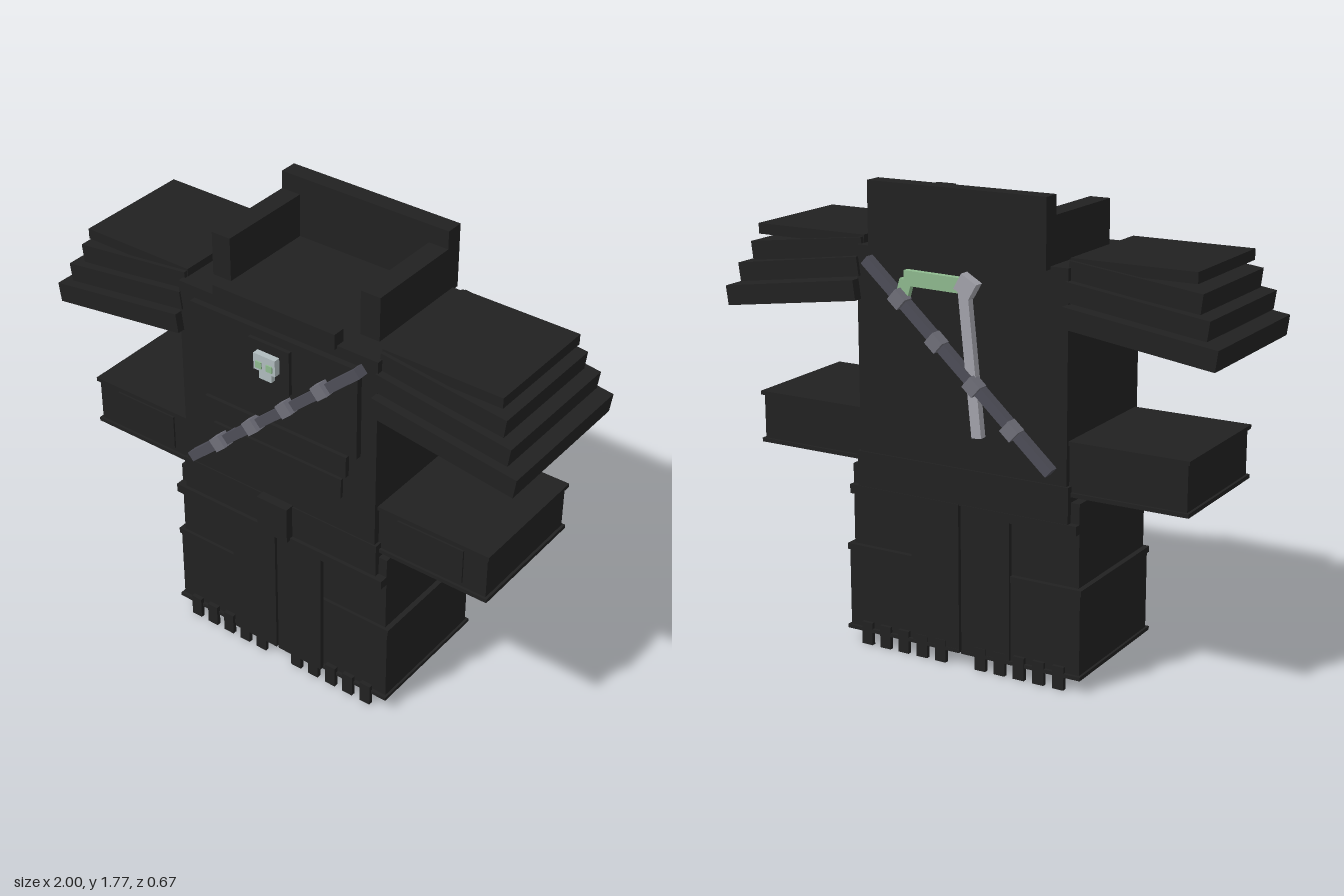
import * as THREE from 'three';

const mat = (name, color) => {
  const m = new THREE.MeshStandardMaterial({ color });
  m.name = name;
  return m;
};

export function createModel() {
  const cloth = mat('black armour', 0x212121);
  const leather = mat('grey strap', 0x4e4e58);
  const buckleMat = mat('buckle grey', 0x70707a);
  const steel = mat('pale steel', 0xa4a4ac);
  const green = mat('pale green', 0x8fba8f);
  const bone = mat('bone grey', 0xb0bcbe);
  const root = new THREE.Group();
  root.name = 'armouredRobe';

  // Box given by its extents on each axis
  const box = (name, x0, x1, y0, y1, z0, z1, m = cloth, parent = root) => {
    const mesh = new THREE.Mesh(new THREE.BoxGeometry(Math.abs(x1 - x0), y1 - y0, z1 - z0), m);
    mesh.position.set((x0 + x1) / 2, (y0 + y1) / 2, (z0 + z1) / 2);
    mesh.name = name;
    parent.add(mesh);
    return mesh;
  };
  // Flat bar between two points in the xy plane
  const bar = (name, x0, y0, x1, y1, w, z0, z1, m) => {
    const l = Math.hypot(x1 - x0, y1 - y0);
    const mesh = new THREE.Mesh(new THREE.BoxGeometry(l, w, z1 - z0), m);
    mesh.position.set((x0 + x1) / 2, (y0 + y1) / 2, (z0 + z1) / 2);
    mesh.rotation.z = Math.atan2(y1 - y0, x1 - x0);
    mesh.name = name;
    root.add(mesh);
  };

  // Torso, chest plate and stomach plates
  box('torso', -0.43, 0.43, 0.75, 1.53, -0.275, 0.265);
  box('chestPlate', -0.36, 0.365, 1.12, 1.485, 0.26, 0.29);
  box('upperStomachPlate', -0.315, 0.315, 1.015, 1.1, 0.26, 0.283);
  box('lowerStomachPlate', -0.285, 0.29, 0.91, 0.99, 0.26, 0.277);

  // Chest emblem
  box('emblemPanel', -0.09, 0.088, 1.275, 1.45, 0.28, 0.305);
  box('skullTop', -0.047, 0.047, 1.35, 1.415, 0.3, 0.33, bone);
  box('skullJaw', -0.027, 0.027, 1.315, 1.35, 0.3, 0.325, bone);
  for (const s of [-1, 1]) {
    box('skullEye', s * 0.01, s * 0.036, 1.362, 1.388, 0.328, 0.335, green);
  }

  // Collar
  box('collarBack', -0.36, 0.36, 1.52, 1.77, -0.305, -0.235);
  box('collarFront', -0.262, 0.262, 1.52, 1.58, 0.23, 0.28);

  // Crossing straps with buckles, front and back
  for (const s of [-1, 1]) {
    const z = (a, b) => (s > 0 ? [a, b] : [-b - 0.005, -a - 0.005]);
    bar('strap', -0.378, 0.808, 0.375, 1.485, 0.038, ...z(0.262, 0.308), leather);
    for (let i = 0; i < 4; i++) {
      const x = -0.23 + i * 0.153, y = 0.943 + i * 0.139;
      bar('strapBuckle', x - 0.02, y - 0.018, x + 0.02, y + 0.018, 0.052, ...z(0.28, 0.327), buckleMat);
    }
  }

  // Curved weapon on the back
  bar('weaponShaft', -0.084, 0.89, -0.03, 1.42, 0.04, -0.305, -0.27, steel);
  bar('weaponJoint', -0.075, 1.415, -0.015, 1.45, 0.065, -0.315, -0.27, steel);
  bar('weaponBlade', -0.02, 1.43, 0.215, 1.435, 0.055, -0.3, -0.27, green);
  bar('weaponTip', 0.21, 1.425, 0.235, 1.34, 0.05, -0.297, -0.27, green);

  // Belt and buckle
  box('belt', -0.44, 0.44, 0.62, 0.76, -0.282, 0.27);
  box('beltBuckle', -0.07, 0.067, 0.615, 0.765, 0.26, 0.303);

  // Shoulder layers: outer top corner, thickness, tilt in degrees, half depth
  const layers = [
    [0.89, 1.56, 0.04, 0, 0.235],
    [0.917, 1.492, 0.07, 7, 0.25],
    [0.957, 1.412, 0.07, 8, 0.28],
    [1.0, 1.325, 0.075, 8, 0.305],
  ];
  for (const s of [-1, 1]) {
    box('collarSide', s * 0.28, s * 0.36, 1.52, 1.7, -0.24, 0.16);

    layers.forEach(([x, y, t, deg, d], i) => {
      const g = new THREE.Group();
      g.name = 'shoulderLayer' + (i + 1);
      g.position.set(s * x, y, -0.008);
      g.rotation.z = -s * THREE.MathUtils.degToRad(deg);
      box('shoulderPlate', 0, -s * (x - 0.42), -t, 0, -d, d, cloth, g);
      root.add(g);
    });

    // Forearms with trims and front panel
    box('sleeve', s * 0.42, s * 0.88, 0.735, 0.91, -0.255, 0.24);
    box('sleeveTopTrim', s * 0.42, s * 0.89, 0.907, 0.922, -0.265, 0.25);
    box('sleeveBottomTrim', s * 0.42, s * 0.89, 0.722, 0.737, -0.265, 0.25);
    box('sleevePanel', s * 0.51, s * 0.785, 0.755, 0.895, 0.23, 0.247);

    // Legs with trims
    box('upperLeg', s * 0.005, s * 0.475, 0.37, 0.7, -0.26, 0.25);
    box('lowerLeg', s * 0.005, s * 0.488, 0.06, 0.372, -0.275, 0.257);
    box('kneeTrim', s * 0.005, s * 0.495, 0.365, 0.388, -0.28, 0.262);
    box('hemTrim', s * 0.005, s * 0.497, 0.05, 0.064, -0.287, 0.27);

    // Robe flaps, hip trims and hem tabs, front and back
    for (const [z0, z1, inner] of [[0.266, 0.284, 0.24], [-0.285, -0.267, -0.25]]) {
      box('robeFlap', s * 0.005, s * 0.207, 0.055, 0.625, z0, z1);
      box('hipTrim', s * 0.205, s * 0.475, 0.59, 0.625, Math.min(z0, inner), Math.max(z1, inner));
      for (let i = 0; i < 5; i++) {
        const x = 0.085 + i * 0.081;
        box('hemTab', s * (x - 0.023), s * (x + 0.023), 0, 0.088, z0 - 0.003, z1 - 0.004);
      }
    }
  }
  return root;
}
